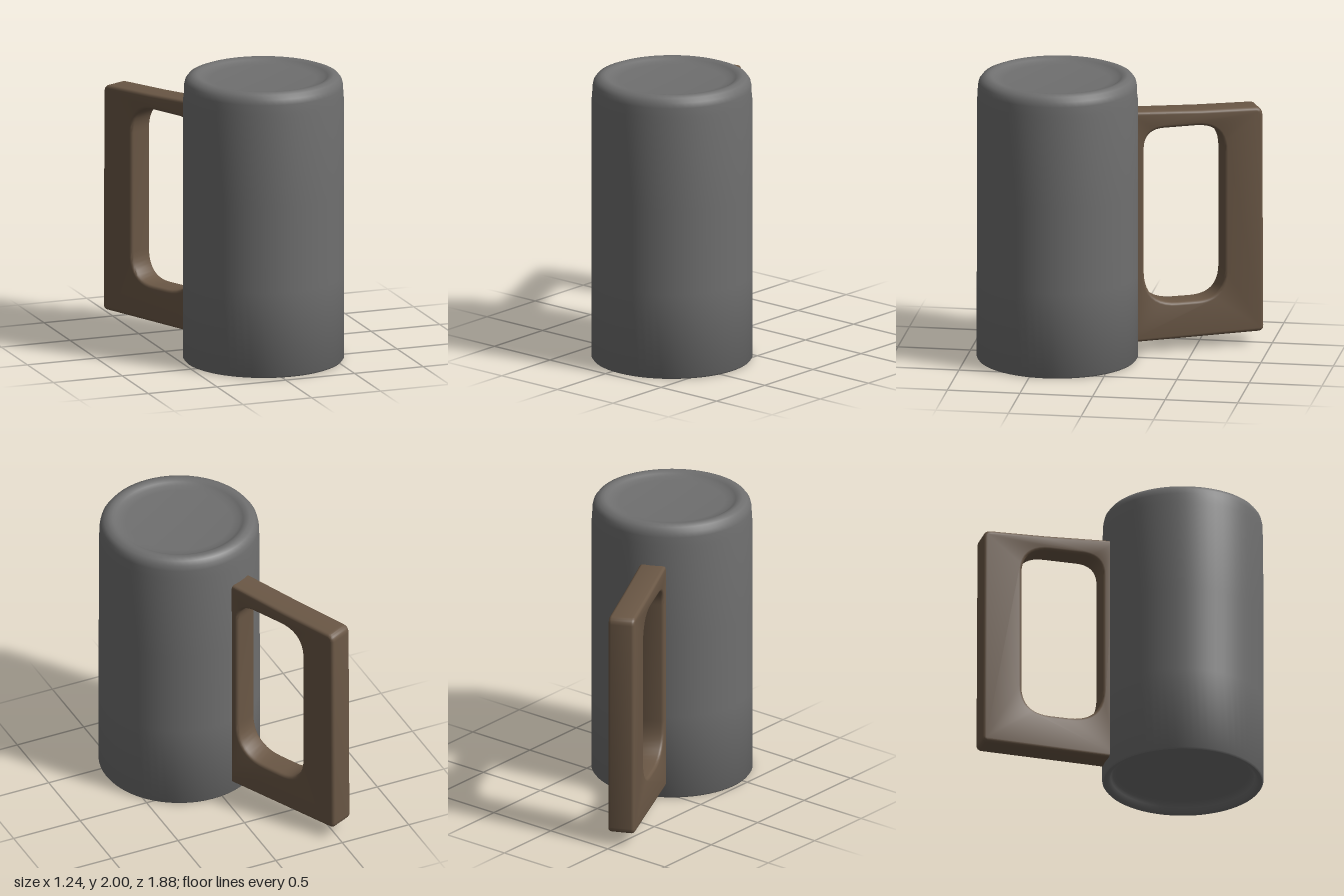
import * as THREE from 'three';
import { toCreasedNormals } from 'three/addons/utils/BufferGeometryUtils.js';

// Trace a rectangle with rounded corners; radii run bottom-left, bottom-right, top-right, top-left
function roundedRect(path, x0, y0, x1, y1, [bl, br, tr, tl]) {
  path.moveTo(x0 + bl, y0);
  path.lineTo(x1 - br, y0);
  path.quadraticCurveTo(x1, y0, x1, y0 + br);
  path.lineTo(x1, y1 - tr);
  path.quadraticCurveTo(x1, y1, x1 - tr, y1);
  path.lineTo(x0 + tl, y1);
  path.quadraticCurveTo(x0, y1, x0, y1 - tl);
  path.lineTo(x0, y0 + bl);
  path.quadraticCurveTo(x0, y0, x0 + bl, y0);
  return path;
}

export function createModel() {
  const model = new THREE.Group();
  const bodyMaterial = new THREE.MeshStandardMaterial({ color: 0x6f6f6f });
  const handleMaterial = new THREE.MeshStandardMaterial({ color: 0x6a5745 });

  const mug = new THREE.Group();
  mug.name = 'mug';
  mug.position.set(0.07, 0, 0.39);
  model.add(mug);

  // Body: recessed underside, straight wall, rounded lip and shallow dished top
  const profile = [
    [0, 0.075], [0.45, 0.072], [0.475, 0.062], [0.49, 0.04], [0.505, 0.012], [0.52, 0.003], [0.54, 0.003],
    [0.549, 0.015], [0.549, 0.6], [0.548, 1.2], [0.547, 1.83], [0.543, 1.86], [0.542, 1.92], [0.534, 1.957],
    [0.513, 1.985], [0.48, 1.998], [0.455, 1.997], [0.435, 1.986], [0.41, 1.973], [0.36, 1.968], [0, 1.968],
  ].map(([r, y]) => new THREE.Vector2(r, y));
  const body = new THREE.Mesh(toCreasedNormals(new THREE.LatheGeometry(profile, 64), 0.9), bodyMaterial);
  body.name = 'body';
  mug.add(body);

  // Handle: flat slab with a tall rounded opening, pointing radially away from the body
  const shape = new THREE.Shape();
  shape.moveTo(0.48, 0.085);
  shape.lineTo(1.395, 0.095);
  shape.quadraticCurveTo(1.437, 0.095, 1.437, 0.135);
  shape.lineTo(1.43, 1.63);
  shape.quadraticCurveTo(1.425, 1.68, 1.375, 1.68);
  shape.lineTo(1.0, 1.69);
  shape.lineTo(0.48, 1.715);
  shape.closePath();
  shape.holes.push(roundedRect(new THREE.Path(), 0.59, 0.345, 1.16, 1.585, [0.24, 0.2, 0.2, 0.14]));

  const width = 0.184, bevel = 0.022;
  const slab = new THREE.ExtrudeGeometry(shape, {
    depth: width - 2 * bevel, curveSegments: 10,
    bevelEnabled: true, bevelSize: bevel, bevelThickness: bevel, bevelOffset: -bevel, bevelSegments: 3,
  });
  slab.translate(0, 0, -(width / 2 - bevel));
  const handle = new THREE.Mesh(toCreasedNormals(slab, 0.7), handleMaterial);
  handle.name = 'handle';
  handle.rotation.y = Math.atan2(0.905, -0.425);
  mug.add(handle);

  return model;
}
